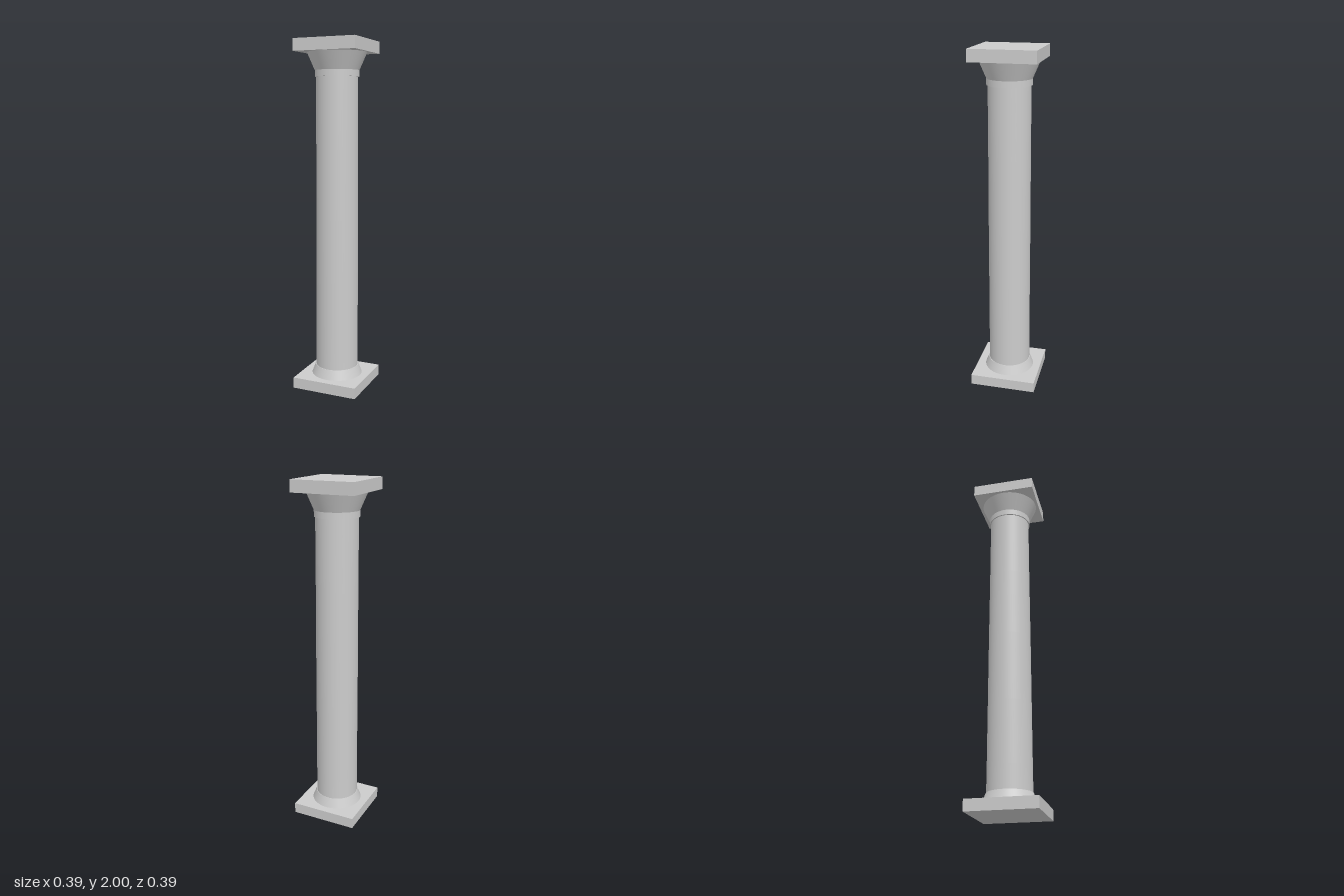
import * as THREE from 'three';

export function createModel() {
  const group = new THREE.Group();
  group.name = 'column';
  const material = new THREE.MeshStandardMaterial({ color: 0xcccccc });

  const add = (name, geometry, y) => {
    const mesh = new THREE.Mesh(geometry, material);
    mesh.name = name;
    mesh.position.y = y;
    group.add(mesh);
  };
  // Square slab and round section, each spanning y0 to y1
  const slab = (name, width, y0, y1) =>
    add(name, new THREE.BoxGeometry(width, y1 - y0, width), (y0 + y1) / 2);
  const drum = (name, rBottom, rTop, y0, y1) =>
    add(name, new THREE.CylinderGeometry(rTop, rBottom, y1 - y0, 64), (y0 + y1) / 2);

  // Base
  slab('plinth', 0.388, 0, 0.063);
  drum('baseFlare', 0.148, 0.127, 0.063, 0.117);

  // Shaft with a gentle taper
  const profile = [[0.124, 0.117], [0.123, 0.25], [0.122, 0.6], [0.121, 1.0], [0.119, 1.4], [0.118, 1.8]];
  add('shaft', new THREE.LatheGeometry(profile.map(([r, y]) => new THREE.Vector2(r, y)), 64), 0);

  // Capital
  drum('neckRing', 0.125, 0.125, 1.8, 1.835);
  drum('capitalFlare', 0.125, 0.168, 1.835, 1.933);
  slab('abacus', 0.367, 1.933, 2);

  return group;
}
